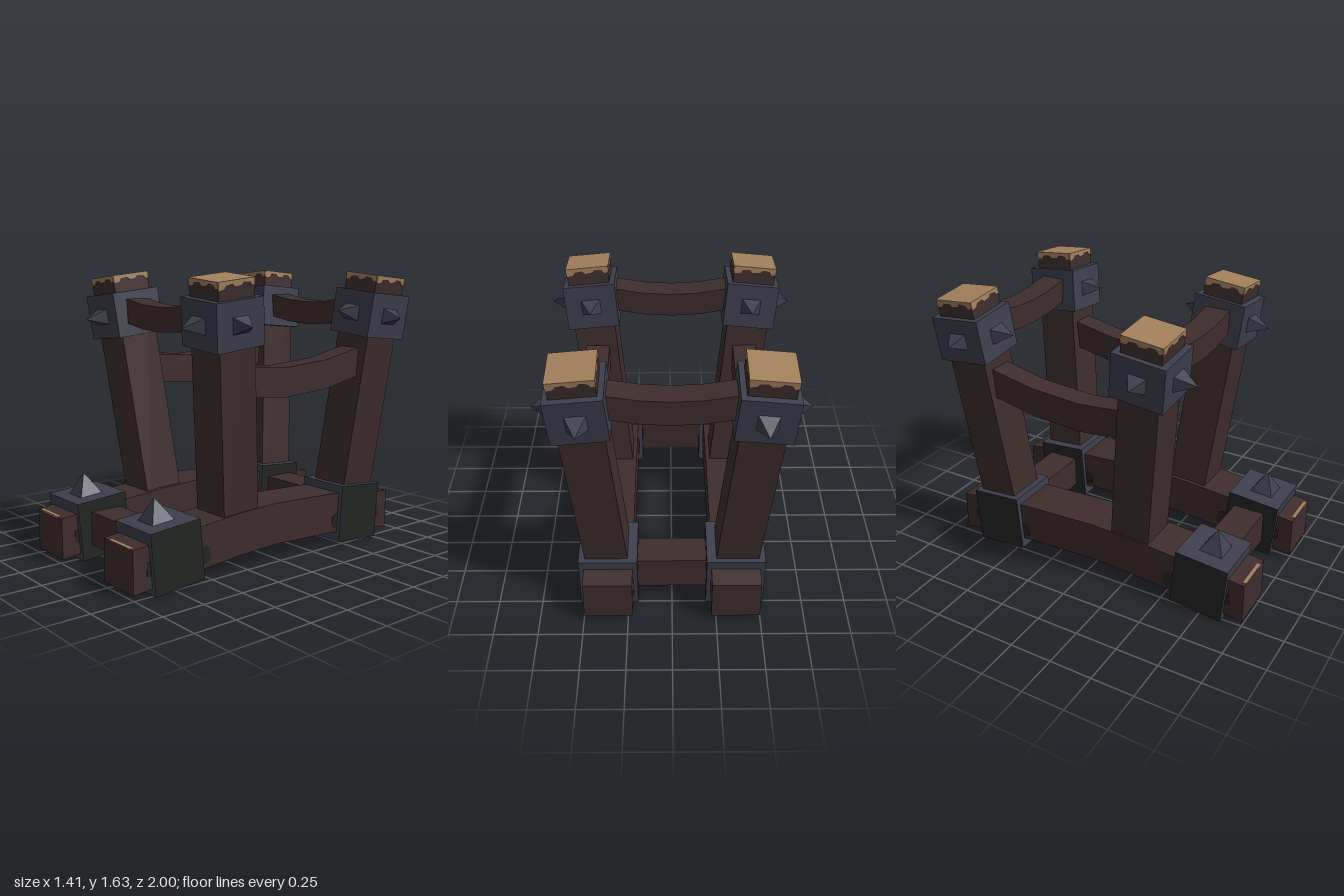
import * as THREE from 'three';

const paint = (name, color) => {
  const m = new THREE.MeshStandardMaterial({ color });
  m.name = name;
  return m;
};

export function createModel() {
  const wood = paint('dark wood', 0x3e2d2d);
  const iron = paint('slate iron', 0x3e3e4e);
  const black = paint('blackened iron', 0x232523);
  const tan = paint('cut wood', 0xa3805c);

  const model = new THREE.Group();
  model.name = 'timberFrame';

  const add = (parent, name, geometry, material, x = 0, y = 0, z = 0) => {
    const mesh = new THREE.Mesh(geometry, material);
    mesh.name = name;
    mesh.position.set(x, y, z);
    parent.add(mesh);
    return mesh;
  };
  const box = (w, h, d) => new THREE.BoxGeometry(w, h, d);

  // Bent beam: centre line points [along, height], square section
  const bentBeam = (points, height, width) => {
    const top = points.map(([u, v]) => new THREE.Vector2(u, v + height / 2));
    const bottom = points.map(([u, v]) => new THREE.Vector2(u, v - height / 2)).reverse();
    const g = new THREE.ExtrudeGeometry(new THREE.Shape([...bottom, ...top]), { depth: width, bevelEnabled: false });
    return g.translate(0, 0, -width / 2);
  };

  // Four-sided spike with its base at the origin, pointing up
  const spikeGeometry = (w, d, h) => {
    const g = new THREE.ConeGeometry(Math.SQRT1_2, 1, 4, 1).toNonIndexed();
    g.rotateY(Math.PI / 4).translate(0, 0.5, 0).scale(w, h, d);
    g.computeVertexNormals();
    return g;
  };

  // Ragged strip of bare wood hanging from the top edge of a post
  const raggedShape = new THREE.Shape([
    [-0.12, 0], [-0.12, -0.045], [-0.085, -0.04], [-0.07, -0.022], [-0.03, -0.018],
    [-0.01, -0.035], [0.03, -0.03], [0.045, -0.015], [0.085, -0.02], [0.1, -0.04], [0.12, -0.035], [0.12, 0],
  ].map(([x, y]) => new THREE.Vector2(x, y)));
  const ragged = new THREE.ExtrudeGeometry(raggedShape, { depth: 0.004, bevelEnabled: false });

  const bracketMaterials = [black, black, iron, black, iron, iron];
  const up = new THREE.Vector3(0, 1, 0);

  for (const side of [-1, 1]) {
    // Arched ground beam
    const runner = bentBeam([[-0.89, 0.152], [-0.65, 0.188], [-0.41, 0.208], [0.04, 0.228],
      [0.3, 0.217], [0.55, 0.195], [0.8, 0.173], [1, 0.15]], 0.238, 0.275);
    add(model, 'groundBeam', runner.rotateY(-Math.PI / 2), wood, side * 0.36);
    add(model, 'beamEndChip', box(0.2, 0.008, 0.02), tan, side * 0.37, 0.268, 0.99);

    // Iron brackets around the ground beam
    for (const [z, tilt, stain] of [[0.74, 0.085, 0.715], [-0.615, -0.075, -0.615]]) {
      const bracket = new THREE.Group();
      bracket.name = 'groundBracket';
      bracket.position.set(side * 0.36, 0.186, z);
      bracket.rotation.x = tilt;
      model.add(bracket);
      add(bracket, 'bracketBox', box(0.33, 0.338, 0.315), bracketMaterials);
      if (z > 0) add(bracket, 'bracketSpike', spikeGeometry(0.14, 0.14, 0.125), iron, 0, 0.167, 0.01);

      // Dark stain peeking out beside the bracket
      const patch = new THREE.CylinderGeometry(1, 1, 0.281, 8).rotateX(0).rotateY(Math.PI / 8);
      patch.rotateZ(Math.PI / 2).scale(1, 0.085, 0.22);
      add(model, 'beamStain', patch, black, side * 0.36, 0.15, stain);
    }

    // Leaning posts: foot and head centres
    for (const [footZ, headZ] of [[0.272, 0.425], [-0.62, -0.755]]) {
      const foot = new THREE.Vector3(side * 0.355, 0.2, footZ);
      const head = new THREE.Vector3(side * 0.487, 1.61, headZ);
      const length = foot.distanceTo(head);
      const post = new THREE.Group();
      post.name = 'post';
      post.position.copy(foot);
      post.quaternion.setFromUnitVectors(up, head.clone().sub(foot).normalize());
      model.add(post);
      add(post, 'postTimber', box(0.24, length - 0.009, 0.24), wood, 0, (length - 0.009) / 2);
      add(post, 'cutTop', box(0.24, 0.009, 0.24), tan, 0, length - 0.0045);
      for (let i = 0; i < 4; i++) {
        const a = i * Math.PI / 2;
        const strip = add(post, 'raggedEdge', ragged, tan, Math.sin(a) * 0.12, length, Math.cos(a) * 0.12);
        strip.rotation.y = a;
      }

      // Spiked iron collar, open towards the cross bar
      const collar = new THREE.Group();
      collar.name = 'collar';
      collar.position.y = length - 0.23;
      post.add(collar);
      add(collar, 'collarBox', box(0.3, 0.26, 0.315), iron);
      for (const s of [-1, 1]) {
        const spike = add(collar, 'collarSpike', spikeGeometry(0.11, 0.09, 0.115), iron, 0, 0, s * 0.157);
        spike.rotation.x = s * Math.PI / 2;
      }
      const outer = add(collar, 'collarSpike', spikeGeometry(0.09, 0.11, 0.09), iron, side * 0.15);
      outer.rotation.z = -side * Math.PI / 2;
    }

    // Sagging side rail between the front and back posts
    const rail = bentBeam([[-0.68, 1.125], [-0.6, 1.105], [-0.33, 1.05], [-0.02, 1.028],
      [0.26, 1.052], [0.34, 1.06]], 0.168, 0.14);
    add(model, 'sideRail', rail.rotateY(-Math.PI / 2), wood, side * 0.44);
  }

  // Sagging top bars and straight ground cross bars
  const topBar = bentBeam([[-0.42, 1.425], [-0.32, 1.403], [-0.16, 1.377], [0, 1.368],
    [0.16, 1.377], [0.32, 1.403], [0.42, 1.425]], 0.14, 0.152);
  for (const z of [0.405, -0.735]) add(model, 'topBar', topBar, wood, 0, 0, z);
  for (const z of [0.73, -0.615]) add(model, 'groundCrossBar', box(0.6, 0.195, 0.19), wood, 0, 0.188, z);

  return model;
}
